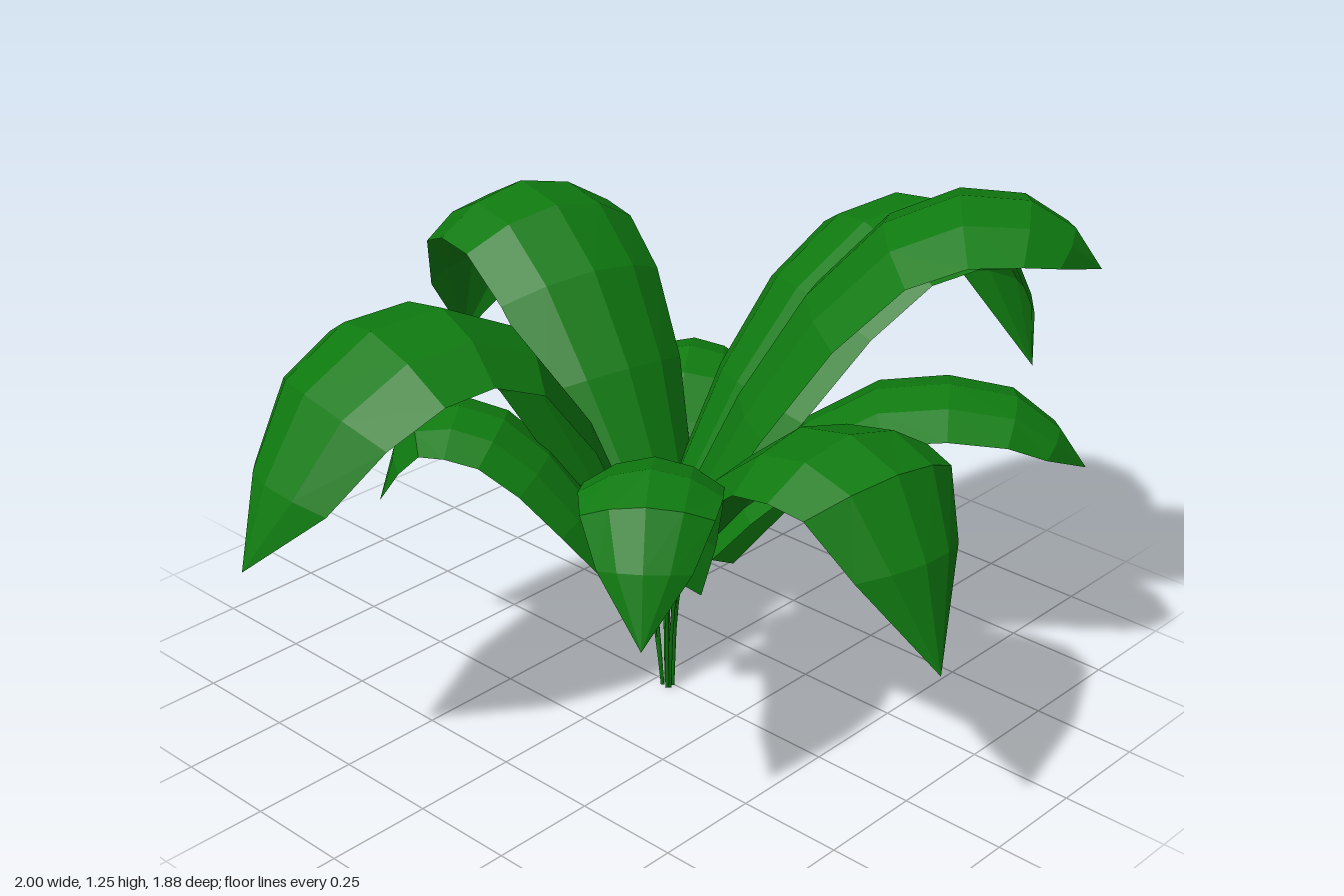
import * as THREE from 'three';

// Rows along every blade, and the share of its half width at each row
const ROWS = [0, 0.13, 0.29, 0.47, 0.65, 0.82, 0.93, 1];
const TAPER = [0.55, 0.8, 0.93, 0.98, 1, 0.92, 0.65, 0];
const ACROSS = [-1, -0.55, 0, 0.55, 1];

// name, start [x, z], tip [x, z], heights [start, peak, tip], peak position, half width
const LEAVES = [
  ['backLeaf', [0.06, -0.06], [0.26, -0.945], [0.5, 1.05, 0.53], 0.56, 0.235],
  ['rightLeaf', [-0.07, -0.06], [-1, -0.24], [0.5, 1.07, 0.6], 0.47, 0.24],
  ['leftLeaf', [0.08, 0.02], [1, 0.33], [0.5, 1.09, 0.59], 0.6, 0.235],
  ['tallFrontLeftLeaf', [0.03, 0.06], [0.58, 0.765], [0.5, 1.25, 1.09], 0.68, 0.215],
  ['lowFrontLeftLeaf', [0.03, 0.06], [0.57, 0.775], [0.36, 0.81, 0.62], 0.6, 0.165],
  ['frontLeaf', [-0.03, 0.1], [-0.16, 0.935], [0.36, 0.9, 0.47], 0.65, 0.22],
  ['frontRightLeaf', [-0.08, 0.1], [-0.58, 0.5], [0.33, 0.83, 0.53], 0.62, 0.15],
  ['backRightLeaf', [-0.06, -0.06], [-0.385, -0.535], [0.33, 0.69, 0.43], 0.65, 0.155],
  ['backLeftLeaf', [0.09, -0.05], [0.555, -0.38], [0.31, 0.66, 0.39], 0.65, 0.15],
];

// Height of a spine: a rounded climb to the peak, then a droop that steepens to the tip
function spineHeight(t, [low, high, end], peak) {
  if (t < peak) return high - (high - low) * (1 - t / peak) ** 2;
  return high - (high - end) * ((t - peak) / (1 - peak)) ** 3.5;
}

// Arched blade with a central ridge, swept along its spine
function bladeGeometry(start, tip, heights, peak, half) {
  const from = new THREE.Vector3(start[0], 0, start[1]);
  const to = new THREE.Vector3(tip[0], 0, tip[1]);
  const spine = ROWS.map((t) => from.clone().lerp(to, t).setY(spineHeight(t, heights, peak)));
  const out = to.sub(from);
  const side = new THREE.Vector3(out.z, 0, -out.x).normalize();
  const last = spine.length - 1;
  const n = ACROSS.length;
  const positions = [];
  const index = [];
  spine.forEach((p, i) => {
    const up = spine[Math.min(i + 1, last)].clone()
      .sub(spine[Math.max(i - 1, 0)]).cross(side).normalize();
    const w = half * TAPER[i];
    for (const a of ACROSS) {
      const v = p.clone().addScaledVector(side, a * w).addScaledVector(up, -0.4 * a * a * w);
      positions.push(v.x, v.y, v.z);
    }
    if (i === 0) return;
    for (let j = 0; j < n - 1; j++) {
      const a = (i - 1) * n + j;
      index.push(a, a + n, a + 1);
      if (i < last) index.push(a + 1, a + n, a + n + 1);
    }
  });
  const indexed = new THREE.BufferGeometry();
  indexed.setAttribute('position', new THREE.Float32BufferAttribute(positions, 3));
  indexed.setIndex(index);
  // Separate faces give flat facets
  const geometry = indexed.toNonIndexed();
  geometry.computeVertexNormals();
  return geometry;
}

// Thin stalk from the shared foot to the start of a blade
function stalkGeometry([x, z], height) {
  const angle = Math.atan2(z - 0.03, x);
  const foot = new THREE.Vector3(-0.01 + 0.012 * Math.cos(angle), 0, 0.04 + 0.012 * Math.sin(angle));
  const top = new THREE.Vector3(x, height + 0.01, z);
  const middle = foot.clone().lerp(top, 0.25).setY(height * 0.55);
  return new THREE.TubeGeometry(new THREE.CatmullRomCurve3([foot, middle, top]), 5, 0.006, 4);
}

export function createModel() {
  const plant = new THREE.Group();
  plant.name = 'leafyPlant';
  const green = new THREE.MeshStandardMaterial({ color: 0x0f7a10, side: THREE.DoubleSide });
  green.name = 'leaf green';

  for (const [name, start, tip, heights, peak, half] of LEAVES) {
    const leaf = new THREE.Group();
    leaf.name = name;
    const blade = new THREE.Mesh(bladeGeometry(start, tip, heights, peak, half), green);
    blade.name = 'blade';
    const stalk = new THREE.Mesh(stalkGeometry(start, heights[0]), green);
    stalk.name = 'stalk';
    leaf.add(blade, stalk);
    plant.add(leaf);
  }
  return plant;
}
